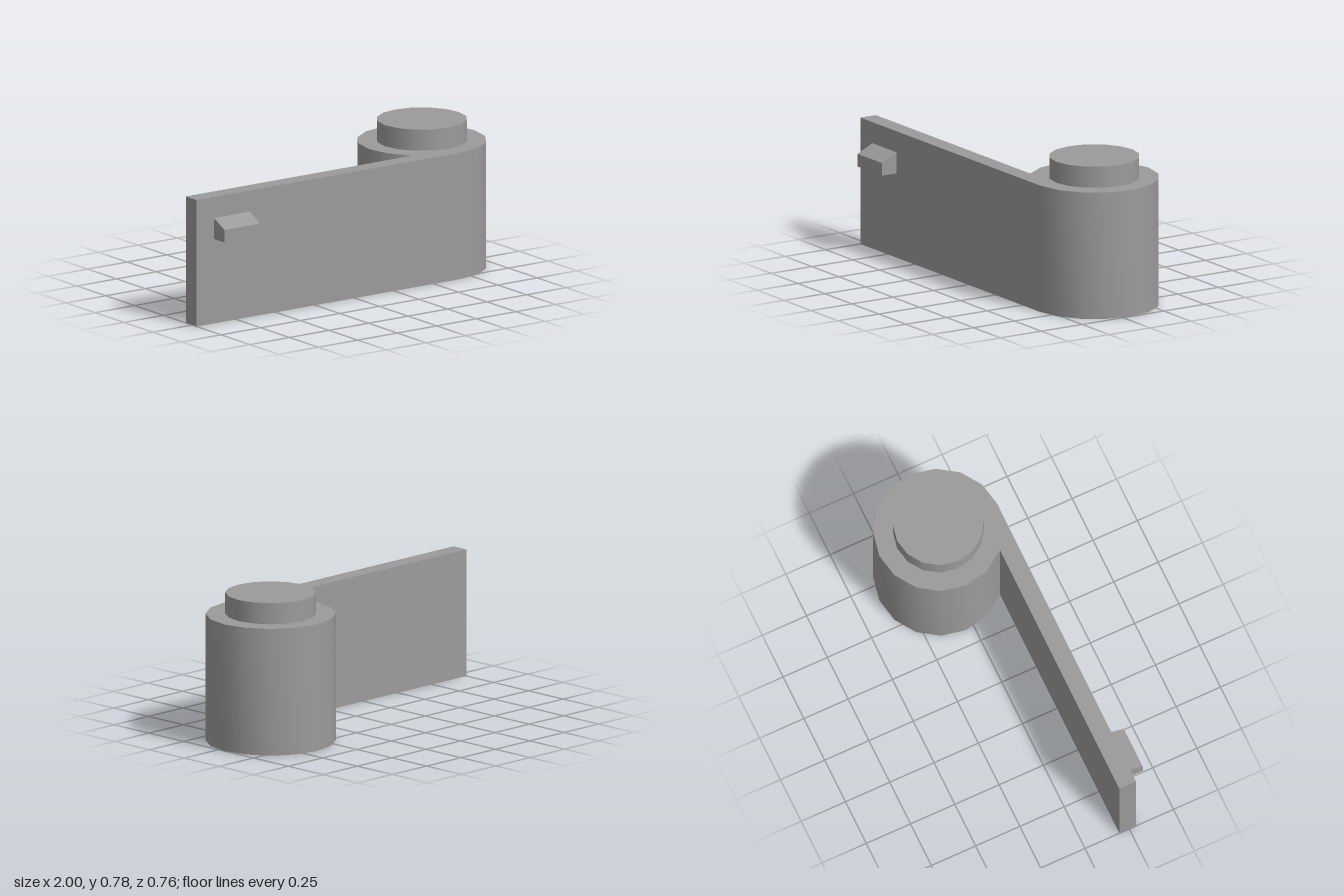
import * as THREE from 'three';
import { toCreasedNormals } from 'three/addons/utils/BufferGeometryUtils.js';

const SIDES = 16;
const CX = 0.667, CZ = -0.045;      // axis of the barrel
const R = 0.333, PEG_R = 0.233;     // barrel and peg radii
const HEIGHT = 0.667, PEG_TOP = 0.778, SOCKET = 0.12;
const ARM_BACK = 0.194;             // z of the arm's rear face

// Point on the barrel's polygon, in plan (x, -z)
const rim = (r, i) => {
  const a = (i / SIDES) * Math.PI * 2;
  return new THREE.Vector2(CX + r * Math.cos(a), -CZ + r * Math.sin(a));
};

export function createModel() {
  const group = new THREE.Group();
  const material = new THREE.MeshStandardMaterial({ color: 0x9b9b9b });
  const add = (name, geometry) => {
    const mesh = new THREE.Mesh(geometry, material);
    mesh.name = name;
    group.add(mesh);
    return mesh;
  };

  // Barrel and flat arm share one plan outline
  const outline = [];
  for (let i = -4; i <= 10; i++) outline.push(rim(R, i));
  outline.push(
    new THREE.Vector2(0.437, -ARM_BACK),
    new THREE.Vector2(-1, -ARM_BACK),
    new THREE.Vector2(-1, outline[0].y),
  );
  const plan = new THREE.Shape(outline);

  // Socket bored through the barrel, closed above by the peg
  const bore = [];
  for (let i = 0; i < SIDES; i++) bore.push(rim(PEG_R, -i));
  plan.holes.push(new THREE.Path(bore));

  const body = new THREE.ExtrudeGeometry(plan, { depth: HEIGHT, bevelEnabled: false });
  body.rotateX(-Math.PI / 2);
  add('barrelAndArm', toCreasedNormals(body, Math.PI / 6));

  // Peg on top, its lower end forming the socket's ceiling
  const peg = new THREE.CylinderGeometry(PEG_R, PEG_R, PEG_TOP - SOCKET, SIDES);
  add('peg', peg).position.set(CX, (PEG_TOP + SOCKET) / 2, CZ);

  // Small catch with a sloping top, profile in (z, y)
  const profile = new THREE.Shape([
    new THREE.Vector2(0.288, 0.445),
    new THREE.Vector2(0.378, 0.445),
    new THREE.Vector2(0.378, 0.512),
    new THREE.Vector2(0.288, 0.556),
  ]);
  const catchBlock = new THREE.ExtrudeGeometry(profile, { depth: 0.226, bevelEnabled: false });
  catchBlock.rotateY(-Math.PI / 2);
  add('catch', catchBlock).position.x = -0.664;

  return group;
}
